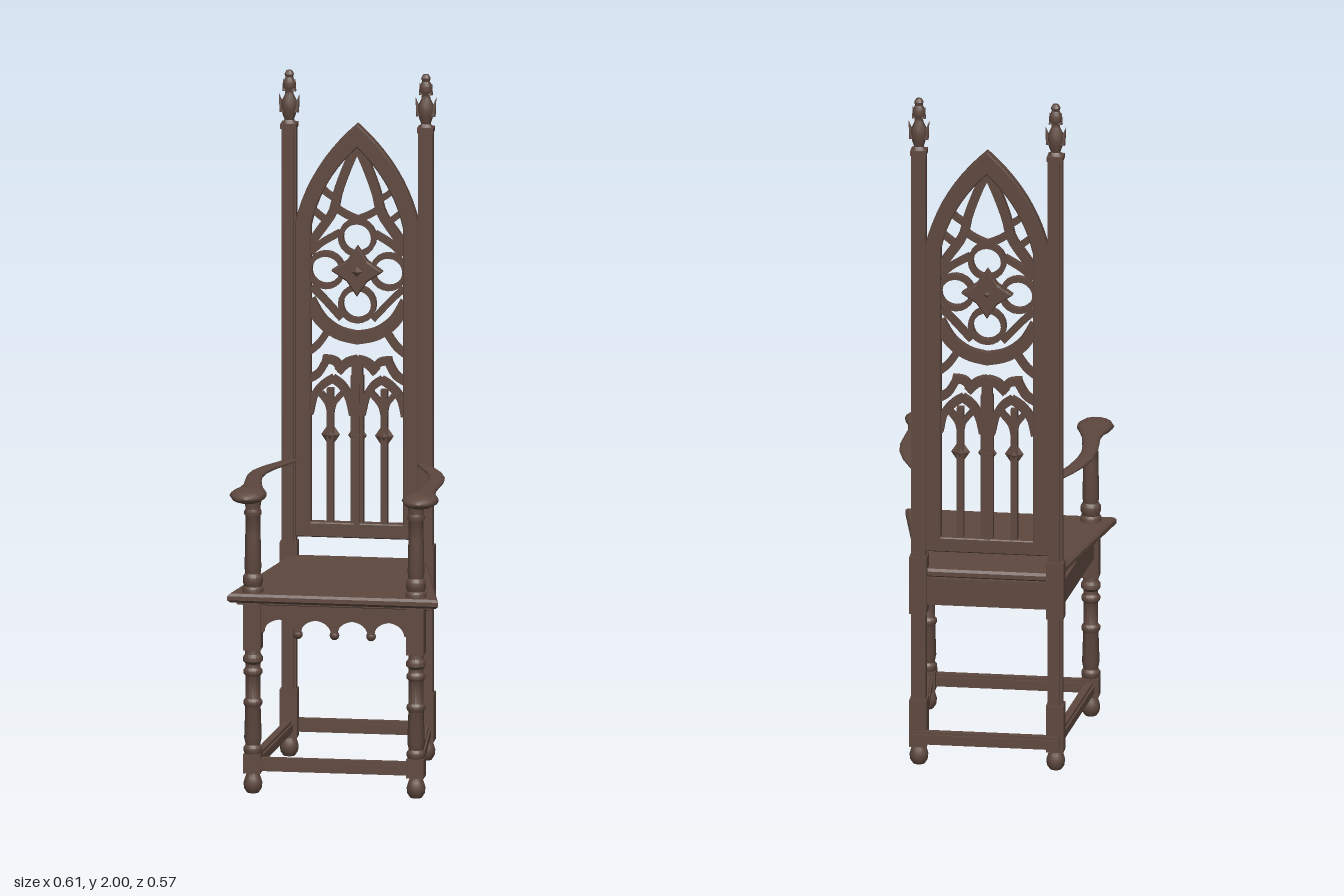
import * as THREE from 'three';
import { toCreasedNormals } from 'three/addons/utils/BufferGeometryUtils.js';

const V2 = (p) => new THREE.Vector2(p[0], p[1]);

export function createModel() {
  const chair = new THREE.Group();
  chair.name = 'highBackChair';
  const wood = new THREE.MeshStandardMaterial({ color: 0x5e483f });
  wood.name = 'darkWood';

  const add = (name, geo, x = 0, y = 0, z = 0) => {
    const m = new THREE.Mesh(geo, wood);
    m.name = name;
    m.position.set(x, y, z);
    chair.add(m);
    return m;
  };
  const box = (name, w, h, d, x, y, z) => add(name, new THREE.BoxGeometry(w, h, d), x, y, z);
  const extrude = (shape, depth, bevel = 0) => new THREE.ExtrudeGeometry(shape, {
    depth, curveSegments: 10, bevelEnabled: bevel > 0, bevelSize: bevel, bevelThickness: bevel, bevelSegments: 1,
  });
  // Turned part from [radius, y] pairs
  const turned = (name, profile, x, z, seg = 14) =>
    add(name, toCreasedNormals(new THREE.LatheGeometry(profile.map(V2), seg), 0.7), x, 0, z);
  // Straight rail between two floor-plan points
  const rail = (name, a, b, y, h, d) => {
    const dx = b[0] - a[0], dz = b[1] - a[1];
    const m = box(name, Math.hypot(dx, dz), h, d, (a[0] + b[0]) / 2, y, (a[1] + b[1]) / 2);
    m.rotation.y = -Math.atan2(dz, dx);
    return m;
  };
  // Flat carved strip following a curve in the plane of the back
  const strip = (name, pts, w, d = 0.024, z = -0.26) => {
    const n = 14, c = new THREE.SplineCurve(pts.map(V2)), left = [], right = [];
    for (let i = 0; i <= n; i++) {
      const p = c.getPoint(i / n), t = c.getTangent(i / n);
      left.push(new THREE.Vector2(p.x - t.y * w / 2, p.y + t.x * w / 2));
      right.unshift(new THREE.Vector2(p.x + t.y * w / 2, p.y - t.x * w / 2));
    }
    return add(name, extrude(new THREE.Shape([...left, ...right]), d), 0, 0, z);
  };
  const strips = (name, pts, w, d, z) => {
    for (const s of [-1, 1]) strip(name, pts.map(([x, y]) => [s * x, y]), w, d, z);
  };

  // Seat: two tapered slabs with chamfered edges
  const slab = (front, back, zf, zb, thick, top, bevel) => {
    const s = new THREE.Shape([[-front, zf], [-back, zb], [back, zb], [front, zf]].map(V2));
    const g = extrude(s, thick - 2 * bevel, bevel);
    g.rotateX(Math.PI / 2);
    add('seat', g, 0, top - bevel, 0);
  };
  slab(0.295, 0.19, 0.258, -0.25, 0.026, 0.585, 0.007);
  slab(0.275, 0.185, 0.24, -0.25, 0.012, 0.561, 0.003);

  // Side and rear aprons
  for (const s of [-1, 1]) rail('sideApron', [s * 0.235, 0.215], [s * 0.197, -0.24], 0.512, 0.07, 0.024);
  rail('rearApron', [-0.19, -0.252], [0.19, -0.252], 0.522, 0.08, 0.03);

  // Scalloped front apron with small drops
  const apron = new THREE.Shape();
  apron.moveTo(-0.22, 0.552).lineTo(-0.22, 0.475);
  for (let i = 0; i < 4; i++) {
    const x0 = -0.21 + i * 0.105;
    apron.lineTo(x0 + 0.008, 0.468);
    apron.quadraticCurveTo(x0 + 0.012, 0.502, x0 + 0.0525, 0.508);
    apron.quadraticCurveTo(x0 + 0.093, 0.502, x0 + 0.097, 0.468);
  }
  apron.lineTo(0.22, 0.475).lineTo(0.22, 0.552);
  add('frontApron', extrude(apron, 0.022), 0, 0, 0.214);
  box('frontApronMoulding', 0.42, 0.016, 0.034, 0, 0.542, 0.225);
  for (const x of [-0.105, 0, 0.105]) add('apronDrop', new THREE.SphereGeometry(0.014, 10, 8), x, 0.465, 0.225);

  // Stretchers near the floor
  const bar = (name, a, b) => {
    rail(name, a, b, 0.085, 0.038, 0.02);
    rail(name, a, b, 0.085, 0.022, 0.032);
  };
  bar('frontStretcher', [-0.235, 0.232], [0.235, 0.232]);
  bar('rearStretcher', [-0.21, -0.272], [0.21, -0.272]);

  const footProfile = [[0, 0], [0.017, 0], [0.025, 0.012], [0.027, 0.028], [0.022, 0.046], [0.018, 0.055], [0.018, 0.062]];
  for (const s of [-1, 1]) {
    const fx = s * 0.234, fz = 0.225, bx = s * 0.196, bz = -0.25;
    bar('sideStretcher', [fx, fz], [bx, bz]);

    // Front leg: foot, block, turned shaft and square top
    turned('frontFoot', footProfile, fx, fz);
    box('frontLegBlock', 0.05, 0.055, 0.05, fx, 0.087, fz);
    turned('frontLegShaft', [
      [0.022, 0.11], [0.027, 0.122], [0.027, 0.132], [0.021, 0.14], [0.025, 0.16], [0.022, 0.25], [0.027, 0.258],
      [0.027, 0.268], [0.021, 0.275], [0.021, 0.34], [0.027, 0.348], [0.027, 0.358], [0.021, 0.365],
      [0.021, 0.376], [0.028, 0.384], [0.028, 0.396], [0.022, 0.405], [0.022, 0.425]], fx, fz);
    box('frontLegTop', 0.05, 0.135, 0.05, fx, 0.486, fz);

    // Turned arm support
    turned('armSupport', [
      [0.03, 0.583], [0.03, 0.597], [0.025, 0.603], [0.029, 0.615], [0.029, 0.63], [0.022, 0.64], [0.024, 0.655],
      [0.022, 0.75], [0.021, 0.805], [0.025, 0.812], [0.025, 0.82], [0.021, 0.828], [0.025, 0.855]], fx, fz);

    // Bowed armrest ending in a rounded knob: z, x, y, half width, half height
    add('armrest', loft([
      [-0.235, 0.188, 0.863, 0, 0], [-0.235, 0.188, 0.863, 0.017, 0.006], [-0.18, 0.213, 0.864, 0.02, 0.007],
      [-0.12, 0.238, 0.866, 0.022, 0.008], [-0.06, 0.254, 0.868, 0.023, 0.009], [0, 0.26, 0.869, 0.023, 0.01],
      [0.06, 0.256, 0.87, 0.024, 0.011], [0.12, 0.249, 0.87, 0.027, 0.012], [0.165, 0.246, 0.869, 0.036, 0.014],
      [0.2, 0.246, 0.868, 0.048, 0.018], [0.235, 0.247, 0.867, 0.053, 0.02], [0.262, 0.247, 0.866, 0.044, 0.018],
      [0.281, 0.247, 0.865, 0.025, 0.012], [0.287, 0.247, 0.865, 0, 0]], s));

    // Back post with fluted corners, thicker below
    turned('backFoot', footProfile, bx, bz);
    box('backLegBlock', 0.05, 0.14, 0.05, bx, 0.125, bz);
    box('backLegBlock', 0.05, 0.17, 0.05, bx, 0.54, bz);
    const a = 0.021, b = 0.014;
    const section = new THREE.Shape([[a, -b], [a, b], [b, b], [b, a], [-b, a], [-b, b], [-a, b], [-a, -b],
      [-b, -b], [-b, -a], [b, -a], [b, -b]].map(V2));
    const post = extrude(section, 1.77);
    post.rotateX(-Math.PI / 2);
    add('backPost', post, bx, 0.06, bz);
    box('postCap', 0.046, 0.014, 0.046, bx, 1.838, bz);

    // Flattened leafy finial
    turned('finial', [
      [0.021, 1.845], [0.014, 1.855], [0.02, 1.872], [0.024, 1.89], [0.022, 1.91], [0.013, 1.928], [0.012, 1.938],
      [0.019, 1.95], [0.018, 1.965], [0.011, 1.978], [0.014, 1.988], [0.008, 1.998], [0, 2]], bx, 0, 10)
      .scale.z = 0.8;
    chair.children.at(-1).position.z = bz;
    for (const t of [-1, 1]) {
      for (const [r, y, h] of [[0.024, 1.905, 0.055], [0.014, 1.957, 0.035]]) {
        const leaf = add('finialLeaf', new THREE.ConeGeometry(0.011, h, 6), bx + t * r, y, bz);
        leaf.rotation.z = -t * 0.22;
      }
    }
  }

  // Lancet frame of the back
  const lancet = (w, y0, spring, peak, P) => {
    const s = new P();
    s.moveTo(-w, y0).lineTo(w, y0).lineTo(w, spring);
    s.quadraticCurveTo(w * 0.78, spring + (peak - spring) * 0.58, 0, peak);
    s.quadraticCurveTo(-w * 0.78, spring + (peak - spring) * 0.58, -w, spring);
    return s;
  };
  const frame = lancet(0.174, 0.645, 1.56, 1.845, THREE.Shape);
  frame.holes.push(lancet(0.135, 0.682, 1.55, 1.785, THREE.Path));
  add('backFrame', extrude(frame, 0.027, 0.003), 0, 0, -0.263);

  // Mullions with diamond bosses
  box('centreMullion', 0.036, 0.44, 0.022, 0, 0.895, -0.248);
  box('centreMullionRib', 0.016, 0.44, 0.032, 0, 0.895, -0.248);
  for (const x of [-0.077, 0, 0.077]) {
    if (x) box('sideMullion', 0.02, 0.4, 0.024, x, 0.875, -0.248);
    add('mullionBoss', new THREE.OctahedronGeometry(1), x, 0.94, -0.248).scale.set(0.027, 0.04, 0.018);
  }

  // Lower arches and cusped band
  strips('lowerArch', [[0.137, 1.0], [0.125, 1.05], [0.098, 1.085], [0.068, 1.105]], 0.022);
  strips('lowerArch', [[0.012, 1.0], [0.024, 1.05], [0.045, 1.085], [0.072, 1.105]], 0.022);
  strips('lancetHead', [[0.077, 0.99], [0.084, 1.03], [0.105, 1.06]], 0.016);
  strips('lancetHead', [[0.077, 0.99], [0.068, 1.03], [0.04, 1.065]], 0.016);
  strips('cuspedBand', [[0.14, 1.1], [0.11, 1.12], [0.085, 1.165]], 0.022);
  strips('cuspedBand', [[0.1, 1.16], [0.065, 1.155], [0.045, 1.128]], 0.022);
  strips('cuspedBand', [[0.055, 1.125], [0.03, 1.15], [0, 1.16]], 0.026);
  strip('cuspedBand', [[0, 1.09], [0, 1.17]], 0.03);
  strips('ogeeArc', [[0.139, 1.18], [0.11, 1.205], [0.08, 1.25]], 0.02);

  // Rose: four pierced rings around a star
  strips('roseCradle', [[0.138, 1.33], [0.105, 1.275], [0.055, 1.238], [-0.005, 1.224]], 0.036);
  for (const [x, y] of [[0, 0.097], [0, -0.097], [0.09, 0], [-0.09, 0]]) {
    const ring = new THREE.Shape().absarc(0, 0, 0.055, 0, Math.PI * 2);
    ring.holes.push(new THREE.Path().absarc(0, 0, 0.04, 0, Math.PI * 2, true));
    add('roseRing', extrude(ring, 0.024), x, 1.42 + y, -0.26);
  }
  strips('roseRim', [[0.132, 1.47], [0.1, 1.5], [0.05, 1.53]], 0.018);
  strips('roseRim', [[0.132, 1.37], [0.1, 1.34], [0.045, 1.28]], 0.018);
  const star = [];
  for (let i = 0; i < 8; i++) {
    const r = i % 2 ? 0.038 : 0.068, t = i * Math.PI / 4;
    star.push(new THREE.Vector2(r * Math.cos(t), r * Math.sin(t)));
  }
  add('roseStar', extrude(new THREE.Shape(star), 0.022, 0.004), 0, 1.42, -0.258);
  add('roseBoss', new THREE.OctahedronGeometry(1), 0, 1.42, -0.245).scale.set(0.035, 0.035, 0.023);

  // Upper tracery beneath the peak
  strips('peakStrut', [[0.004, 1.78], [0.03, 1.72], [0.055, 1.65], [0.07, 1.59], [0.11, 1.53], [0.138, 1.49]], 0.026);
  strips('peakCusp', [[0.066, 1.605], [0.035, 1.585], [0, 1.57]], 0.018);
  strips('peakSpur', [[0.065, 1.63], [0.088, 1.645], [0.108, 1.665]], 0.016);
  strips('peakSpur', [[0.085, 1.56], [0.11, 1.58], [0.135, 1.6]], 0.016);
  return chair;
}

// Skin over elliptical sections running along z; side mirrors the x offset
function loft(rows, side, n = 14) {
  const pos = [], index = [];
  for (const [z, x, y, w, h] of rows) {
    for (let i = 0; i < n; i++) {
      const t = i / n * Math.PI * 2;
      pos.push(side * x + w * Math.cos(t), y + h * Math.sin(t), z);
    }
  }
  for (let j = 0; j < rows.length - 1; j++) {
    for (let i = 0; i < n; i++) {
      const a = j * n + i, b = j * n + (i + 1) % n;
      index.push(a, b, b + n, a, b + n, a + n);
    }
  }
  const g = new THREE.BufferGeometry();
  g.setAttribute('position', new THREE.Float32BufferAttribute(pos, 3));
  g.setIndex(index);
  g.computeVertexNormals();
  return g;
}
